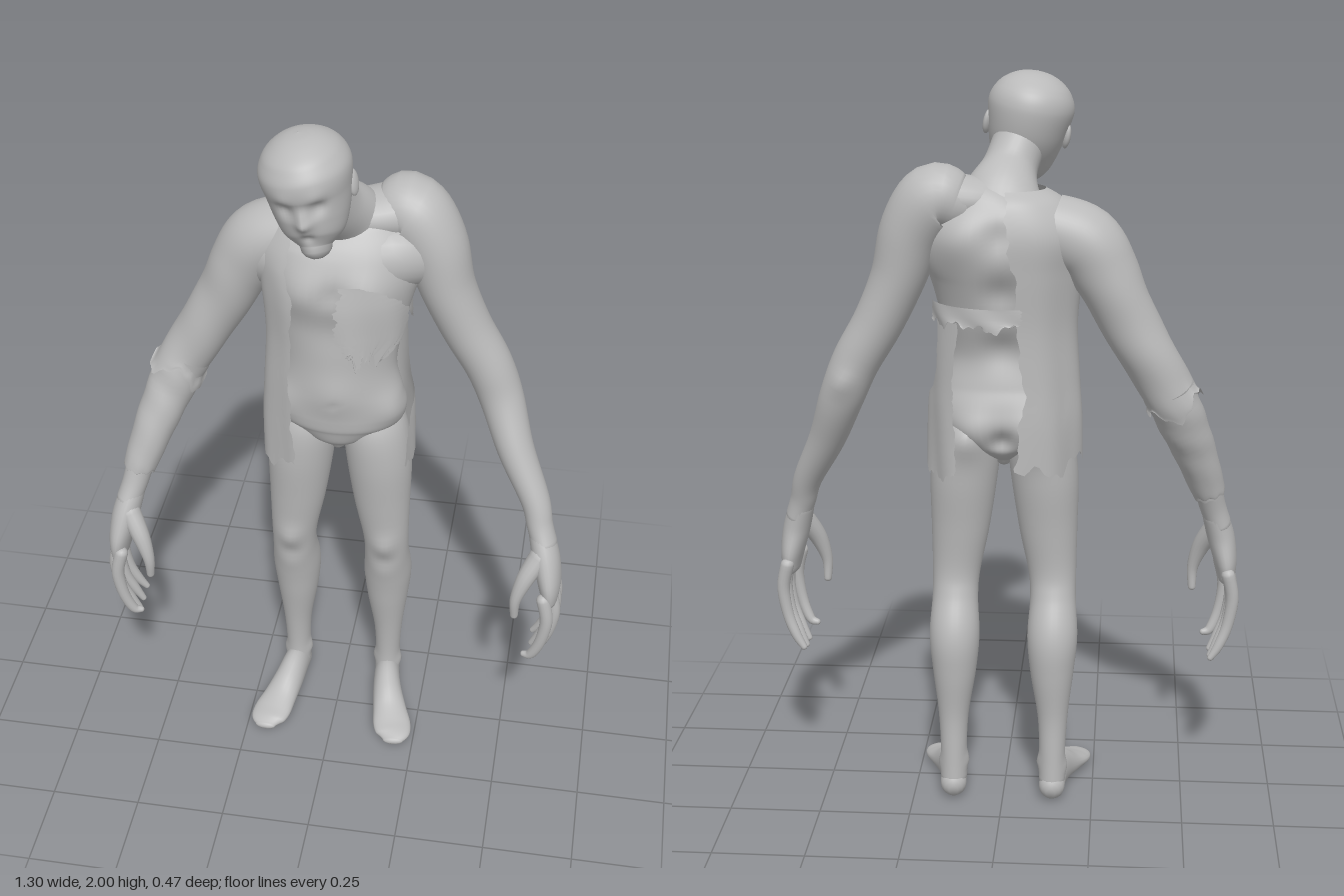
import * as THREE from 'three';

const grey = new THREE.MeshStandardMaterial({ color: 0xbababa, side: THREE.DoubleSide });
grey.name = 'stone grey';

// Smoothly interpolates rows of numbers, t from 0 to 1
function sample(rows, t) {
  const f = Math.min(t, 0.99999) * (rows.length - 1), i = Math.floor(f), k = f - i;
  const at = n => rows[Math.max(0, Math.min(rows.length - 1, n))];
  return rows[0].map((_, c) => {
    const a = at(i - 1)[c], b = at(i)[c], d = at(i + 1)[c], e = at(i + 2)[c];
    return b + 0.5 * k * (d - a + k * (2 * a - 5 * b + 4 * d - e + k * (3 * (b - d) + e - a)));
  });
}

function build(verts, index) {
  const g = new THREE.BufferGeometry();
  g.setAttribute('position', new THREE.Float32BufferAttribute(verts.flatMap(p => [p.x, p.y, p.z]), 3));
  g.setIndex(index);
  g.computeVertexNormals();
  return g;
}

// Skins elliptical rings [x, y, z, radiusU, radiusW] along a path; ref orients radiusW
function loft(rows, { sides = 24, steps = 6, ref = [0, 0, 1], open = false, warp = null } = {}) {
  const n = (rows.length - 1) * steps, verts = [], index = [], rings = [];
  const pos = t => new THREE.Vector3(...sample(rows, t).slice(0, 3));
  for (let i = 0; i <= n; i++) {
    const t = i / n, r = sample(rows, t);
    const dir = pos(Math.min(1, t + 0.01)).sub(pos(Math.max(0, t - 0.01))).normalize();
    rings.push({ c: pos(t), dir, a: r[3], b: r[4], t });
  }
  if (!open) { // rounded ends
    const cap = (ring, sign) => [0.4, 0.8, 1.2].map(q => ({
      c: ring.c.clone().addScaledVector(ring.dir, sign * Math.sin(q) * Math.min(ring.a, ring.b) * 0.9),
      dir: ring.dir, a: ring.a * Math.cos(q), b: ring.b * Math.cos(q), t: ring.t }));
    const head = cap(rings[0], -1).reverse(), tail = cap(rings[n], 1);
    rings.unshift(...head);
    rings.push(...tail);
  }
  for (const { c, dir, a, b, t } of rings) {
    const w = new THREE.Vector3(...ref);
    w.addScaledVector(dir, -w.dot(dir)).normalize();
    const u = w.clone().cross(dir);
    for (let j = 0; j < sides; j++) {
      const q = j / sides * Math.PI * 2, [s, along] = warp ? warp(q, t) : [1, 0];
      verts.push(c.clone().addScaledVector(u, Math.cos(q) * a * s)
        .addScaledVector(w, Math.sin(q) * b * s).addScaledVector(dir, along));
    }
  }
  const id = (i, j) => i * sides + j % sides, last = rings.length - 1;
  for (let i = 0; i < last; i++) for (let j = 0; j < sides; j++)
    index.push(id(i, j), id(i, j + 1), id(i + 1, j + 1), id(i, j), id(i + 1, j + 1), id(i + 1, j));
  if (!open) {
    const p = verts.push(rings[0].c.clone()) - 1, e = verts.push(rings[last].c.clone()) - 1;
    for (let j = 0; j < sides; j++) index.push(p, id(0, j + 1), id(0, j), e, id(last, j), id(last, j + 1));
  }
  return build(verts, index);
}

// Pushes vertices near [x, y, z] within radius s by (dx, dy, dz)
function sculpt(g, bumps) {
  const p = g.attributes.position;
  for (const [x, y, z, s, dx, dy, dz] of bumps) for (let i = 0; i < p.count; i++) {
    const d = (p.getX(i) - x) ** 2 + (p.getY(i) - y) ** 2 + (p.getZ(i) - z) ** 2, k = Math.exp(-d / (s * s));
    p.setXYZ(i, p.getX(i) + dx * k, p.getY(i) + dy * k, p.getZ(i) + dz * k);
  }
  g.computeVertexNormals();
  return g;
}

// Ragged sheet of cloth around the body: rows [y, cx, cz, rx, rz, angle0, angle1]
function cloth(rows, ragged = 0.03) {
  const M = 48, N = 40, verts = [], index = [];
  const jag = s => Math.sin(s * 23) * 0.5 + Math.sin(s * 57 + 1) * 0.35 + Math.sin(s * 11 + 2) * 0.4;
  for (let i = 0; i <= M; i++) {
    const v = i / M, [y, cx, cz, rx, rz, a0, a1] = sample(rows, v);
    for (let j = 0; j <= N; j++) {
      const h = j / N, edge = jag(v * 1.7) * ragged * 1.5;
      const a = a0 + (a1 - a0) * h + edge * (2 * h - 1) ** 2;
      const fold = 1 + 0.02 * v * Math.sin(a * 9 + v * 3);
      verts.push(new THREE.Vector3(cx + rx * fold * Math.cos(a), y + jag(h) * ragged * v ** 6, cz + rz * fold * Math.sin(a)));
    }
  }
  for (let i = 0; i < M; i++) for (let j = 0; j < N; j++) {
    const a = i * (N + 1) + j, b = a + N + 1;
    index.push(a, a + 1, b + 1, a, b + 1, b);
  }
  return build(verts, index);
}

const flip = (rows, s) => rows.map(([x, ...r]) => [x * s, ...r]);

export function createModel() {
  const model = new THREE.Group();
  const add = (name, geo, parent = model) => {
    const m = new THREE.Mesh(geo, grey);
    m.name = name;
    parent.add(m);
    return m;
  };

  // Torso with chest, belly, spine and buttock modelling
  add('torso', sculpt(loft([
    [0, 0.985, -0.05, 0.025, 0.05], [0, 1.02, -0.052, 0.1, 0.09], [0, 1.07, -0.055, 0.165, 0.108],
    [0, 1.12, -0.05, 0.183, 0.11], [0, 1.18, -0.04, 0.172, 0.104], [0, 1.27, -0.035, 0.155, 0.098],
    [0, 1.38, -0.045, 0.172, 0.118], [0, 1.5, -0.06, 0.2, 0.138], [0.01, 1.6, -0.08, 0.212, 0.13],
    [0.01, 1.665, -0.085, 0.16, 0.1], [0, 1.7, -0.08, 0.08, 0.055], [0, 1.71, -0.075, 0.02, 0.02]],
  { sides: 56, steps: 8 }), [
    [0.09, 1.52, 0.06, 0.07, 0, 0, 0.022], [-0.09, 1.52, 0.06, 0.07, 0, 0, 0.022],
    [0, 1.52, 0.08, 0.03, 0, 0, -0.012], [0, 1.4, 0.07, 0.07, 0, 0, -0.012],
    [0, 1.2, 0.06, 0.06, 0, 0, 0.01], [0, 1.17, 0.07, 0.012, 0, 0, -0.004],
    [0.15, 1.14, 0.02, 0.05, 0.008, 0, 0.01], [-0.15, 1.14, 0.02, 0.05, -0.008, 0, 0.01],
    [0, 1.6, -0.21, 0.04, 0, 0, 0.015], [0, 1.45, -0.2, 0.05, 0, 0, 0.022], [0, 1.3, -0.13, 0.05, 0, 0, 0.018],
    [0.12, 1.6, -0.2, 0.075, 0, 0, -0.022], [-0.11, 1.56, -0.2, 0.07, 0, 0, -0.018],
    [0.09, 1.075, -0.16, 0.06, 0, 0, -0.022], [-0.09, 1.075, -0.16, 0.06, 0, 0, -0.022],
    [0, 1.05, -0.16, 0.03, 0, 0, 0.025]]));
  add('neck', loft([[0.01, 1.62, -0.1, 0.14, 0.085], [0.005, 1.69, -0.06, 0.105, 0.085],
    [-0.01, 1.75, 0.005, 0.074, 0.075], [-0.035, 1.82, 0.06, 0.072, 0.08]], { sides: 32 }));
  // Muscles bridging chest, neck and shoulders
  add('leftChestMuscle', loft([[0.04, 1.56, -0.03, 0.07, 0.075], [0.13, 1.585, -0.045, 0.09, 0.078], [0.21, 1.575, -0.085, 0.08, 0.07]]));
  add('rightChestMuscle', loft([[-0.04, 1.55, -0.03, 0.07, 0.075], [-0.13, 1.555, -0.045, 0.088, 0.078], [-0.21, 1.53, -0.085, 0.08, 0.07]]));
  add('leftShoulderMuscle', loft([[0.01, 1.68, -0.07, 0.055, 0.07], [0.08, 1.685, -0.09, 0.06, 0.085], [0.16, 1.69, -0.11, 0.075, 0.085]]));
  add('rightShoulderMuscle', loft([[-0.01, 1.67, -0.07, 0.055, 0.07], [-0.1, 1.64, -0.085, 0.062, 0.09], [-0.2, 1.595, -0.095, 0.07, 0.085]]));

  // Tilted head with a sculpted face
  const head = new THREE.Group();
  head.name = 'head';
  head.position.set(-0.055, 1.87, 0);
  head.rotation.z = 0.18;
  model.add(head);
  add('skull', sculpt(loft([
    [0, -0.155, 0.145, 0.04, 0.052], [0, -0.125, 0.132, 0.073, 0.083], [0, -0.08, 0.117, 0.092, 0.104],
    [0, -0.02, 0.103, 0.106, 0.124], [0, 0.04, 0.1, 0.115, 0.13], [0, 0.082, 0.1, 0.098, 0.111],
    [0, 0.108, 0.1, 0.069, 0.077], [0, 0.122, 0.1, 0.036, 0.04], [0, 0.1265, 0.1, 0.002, 0.002]],
  { sides: 64, steps: 8 }), [
    [0.042, -0.022, 0.215, 0.022, 0, 0, -0.015], [-0.042, -0.022, 0.215, 0.022, 0, 0, -0.015],
    [0.04, 0.008, 0.215, 0.022, 0, 0, 0.005], [-0.04, 0.008, 0.215, 0.022, 0, 0, 0.005],
    [0, -0.062, 0.22, 0.018, 0, 0, 0.023], [0, -0.035, 0.225, 0.015, 0, 0, 0.01],
    [0, -0.108, 0.21, 0.014, 0, 0, -0.01], [0, -0.092, 0.215, 0.013, 0, 0, 0.006],
    [0, -0.15, 0.19, 0.028, 0, 0, 0.006]]), head);
  for (const s of [1, -1]) {
    const ear = add('ear', new THREE.SphereGeometry(1, 20, 14), head);
    ear.position.set(s * 0.106, -0.025, 0.085);
    ear.scale.set(0.011, 0.034, 0.02);
    ear.rotation.set(-0.2, s * -0.3, 0);
  }

  // Legs and feet
  for (const s of [1, -1]) {
    add('leg', sculpt(loft(flip([
      [0.085, 1.12, -0.06, 0.065, 0.06], [0.097, 1.04, -0.058, 0.088, 0.092], [0.11, 0.93, -0.055, 0.091, 0.092],
      [0.12, 0.79, -0.053, 0.08, 0.075], [0.132, 0.66, -0.055, 0.066, 0.062], [0.135, 0.58, -0.068, 0.063, 0.066],
      [0.135, 0.48, -0.1, 0.069, 0.075], [0.135, 0.38, -0.108, 0.06, 0.066], [0.138, 0.25, -0.112, 0.042, 0.047],
      [0.138, 0.14, -0.118, 0.036, 0.042], [0.138, 0.06, -0.118, 0.037, 0.045]], s), { sides: 32 }), [
      [s * 0.095, 1.06, -0.15, 0.055, 0, 0, -0.025],
      [s * 0.135, 0.645, 0.005, 0.035, 0, 0, 0.012], [s * 0.135, 0.575, 0, 0.03, 0, 0, -0.008],
      [s * 0.18, 0.1, -0.115, 0.02, s * 0.008, 0, 0], [s * 0.1, 0.11, -0.115, 0.02, s * -0.008, 0, 0]]));
    const foot = loft(flip([
      [0.138, 0.042, -0.135, 0.036, 0.04], [0.142, 0.058, -0.08, 0.038, 0.059], [0.152, 0.05, -0.02, 0.043, 0.051],
      [0.168, 0.033, 0.04, 0.05, 0.034], [0.182, 0.023, 0.09, 0.056, 0.023], [0.192, 0.018, 0.125, 0.05, 0.018],
      [0.194, 0.014, 0.15, 0.03, 0.012]], s), { ref: [0, 1, 0] });
    const p = foot.attributes.position;
    for (let i = 0; i < p.count; i++) p.setY(i, Math.max(0, p.getY(i)));
    foot.computeVertexNormals();
    add('foot', foot);
  }

  // Arms: the left shoulder is raised, the right one hangs lower
  const forearm = [[0.55, 0.89, 0.018, 0.04, 0.045], [0.57, 0.82, 0.04, 0.036, 0.042], [0.587, 0.77, 0.055, 0.035, 0.048]];
  const left = [[0.12, 1.675, -0.11, 0.075, 0.08], [0.175, 1.685, -0.11, 0.095, 0.096], [0.235, 1.605, -0.1, 0.087, 0.094],
    [0.276, 1.48, -0.093, 0.073, 0.085], [0.33, 1.36, -0.092, 0.067, 0.075], [0.393, 1.25, -0.09, 0.064, 0.069],
    [0.435, 1.15, -0.08, 0.06, 0.065], [0.485, 1.02, -0.03, 0.05, 0.057], ...forearm];
  const right = [[0.12, 1.61, -0.09, 0.085, 0.09], [0.21, 1.575, -0.093, 0.09, 0.09], [0.265, 1.5, -0.095, 0.08, 0.084],
    [0.314, 1.4, -0.096, 0.07, 0.076], [0.375, 1.29, -0.094, 0.066, 0.07], [0.433, 1.19, -0.085, 0.062, 0.066],
    [0.472, 1.1, -0.06, 0.058, 0.06], [0.512, 1, -0.02, 0.05, 0.054], ...forearm];
  add('leftArm', sculpt(loft(left, { sides: 32 }), [
    [0.42, 1.2, -0.16, 0.035, 0.005, 0, -0.01], [0.14, 1.77, -0.16, 0.05, 0, 0.004, -0.004]]));
  add('rightArm', loft(flip(right, -1), { sides: 32 }));

  // Hands with curled fingers and a thumb
  for (const s of [1, -1]) {
    add('palm', loft(flip([[0.575, 0.8, 0.045, 0.034, 0.042], [0.595, 0.73, 0.066, 0.038, 0.058],
      [0.61, 0.66, 0.074, 0.033, 0.074], [0.615, 0.61, 0.074, 0.025, 0.07]], s)));
    for (let k = 0; k < 4; k++) {
      const z = 0.137 - k * 0.043, tip = [0.41, 0.378, 0.375, 0.385][k], x = 0.625 - (k === 0 ? 0.018 : 0);
      add('finger', loft(flip([[x - 0.008, 0.63, z, 0.019, 0.02], [x + 0.006, 0.56, z + 0.004, 0.018, 0.019],
        [x - 0.005, 0.48, z + 0.003, 0.016, 0.016], [x - 0.028, 0.42, z - 0.004, 0.014, 0.014],
        [x - 0.05, tip, z - 0.01, 0.009, 0.009]], s), { sides: 14, steps: 4 }));
    }
    add('thumb', loft(flip([[0.58, 0.745, 0.085, 0.03, 0.032], [0.545, 0.68, 0.112, 0.025, 0.026],
      [0.523, 0.61, 0.125, 0.016, 0.018], [0.522, 0.55, 0.122, 0.011, 0.012]], s), { sides: 14 }));
  }

  // Torn sleeve in two pieces on the right arm
  const grow = (rows, d) => flip(rows, -1).map(([x, y, z, a, b]) => [x, y, z, a + d, b + d]);
  const tear = (q, t) => [1 + 0.025 * Math.sin(t * 26 + q * 2) * t,
    (Math.sin(q * 3) * 0.025 + Math.sin(q * 11) * 0.007) * t ** 6];
  add('upperSleeve', loft(grow(right.slice(0, 6), 0.008).concat([[-0.455, 1.145, -0.075, 0.077, 0.078]]),
    { sides: 48, open: true, warp: tear }));
  add('lowerSleeve', loft(grow(right.slice(5, 9), 0.008).concat([[-0.557, 0.865, 0.025, 0.044, 0.05]]),
    { sides: 40, open: true, warp: (q, t) => [1 + 0.03 * Math.sin(t * 30 + q * 2) * (1 - t), Math.sin(q * 9) * 0.004 * t] }));

  // Torn shirt: right half, chest scrap, back band and hip rag
  add('shirtRightHalf', cloth([
    [1.715, 0, -0.08, 0.11, 0.09, 2.2, 4.6], [1.68, 0, -0.085, 0.165, 0.12, 2.2, 4.65],
    [1.6, 0, -0.078, 0.222, 0.15, 2.15, 4.62], [1.5, 0, -0.06, 0.21, 0.165, 2.12, 4.55],
    [1.36, 0, -0.05, 0.197, 0.165, 2.15, 4.5], [1.22, 0, -0.045, 0.203, 0.172, 2.15, 4.4],
    [1.1, 0, -0.045, 0.21, 0.178, 2.1, 4.48], [0.985, 0, -0.042, 0.21, 0.183, 2.0, 4.5]]));
  add('chestScrap', cloth([
    [1.57, 0, -0.06, 0.215, 0.17, 1.45, 1.2], [1.5, 0, -0.05, 0.21, 0.17, 1.5, 0.55],
    [1.42, 0, -0.045, 0.2, 0.168, 1.5, 0.35], [1.35, 0, -0.04, 0.19, 0.165, 1.3, 0.75]]));
  add('backBand', cloth([
    [1.42, 0, -0.05, 0.195, 0.168, -1.85, -0.3], [1.39, 0, -0.05, 0.195, 0.17, -1.85, -0.25],
    [1.37, 0, -0.05, 0.195, 0.172, -1.8, -0.3]], 0.015));
  add('hipRag', cloth([
    [1.4, 0, -0.05, 0.19, 0.168, -0.95, -0.45], [1.22, 0, -0.05, 0.195, 0.165, -0.85, -0.4],
    [1.12, 0, -0.05, 0.203, 0.16, -0.9, 0.15], [0.95, 0, -0.05, 0.206, 0.16, -0.95, 0.4]], 0.015));
  return model;
}
